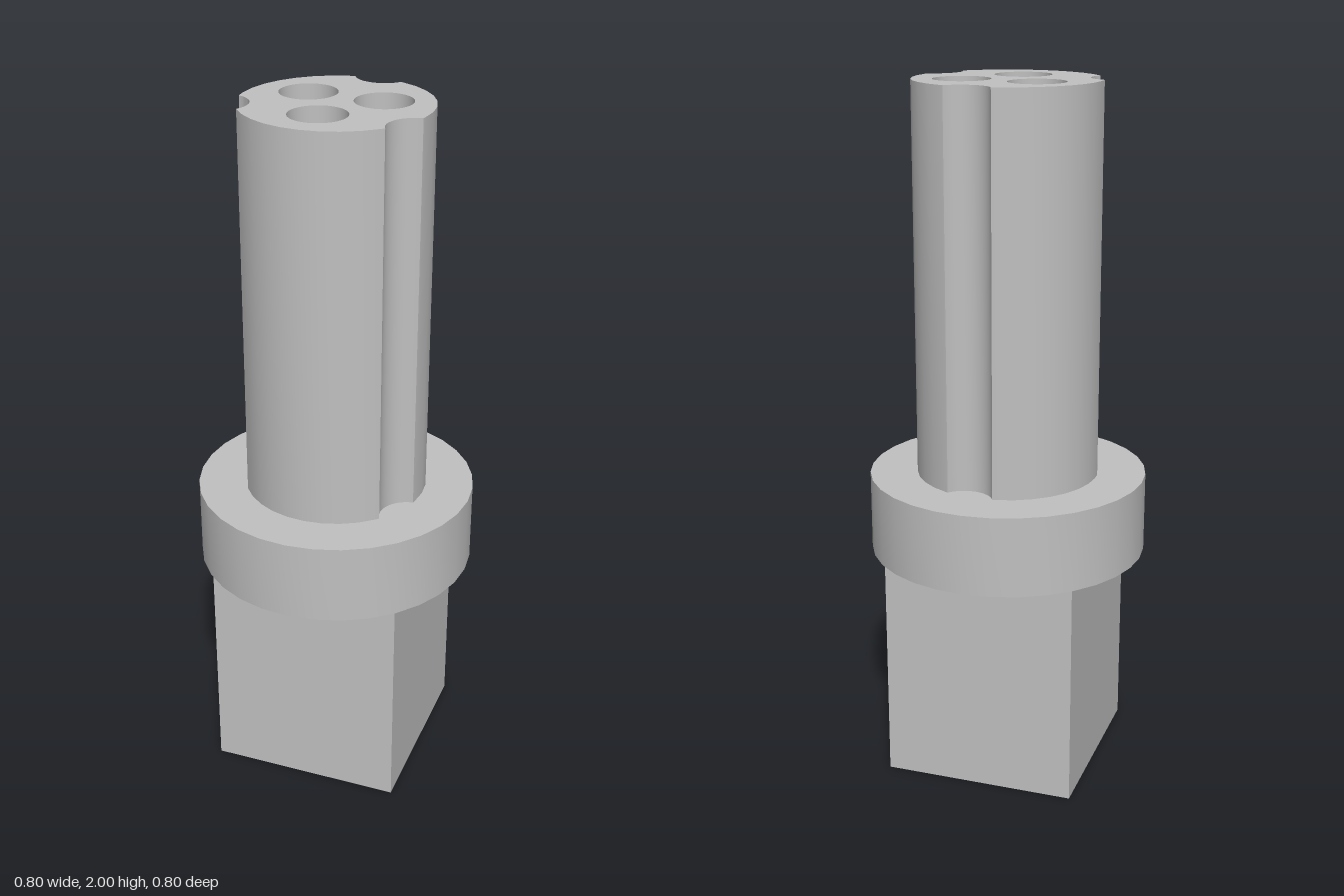
import * as THREE from 'three';
import { toCreasedNormals } from 'three/addons/utils/BufferGeometryUtils.js';

const TAU = Math.PI * 2;
// Plan positions [x, z]
const HOLES = [[-0.104, -0.07], [0.113, -0.055], [-0.005, 0.12]];
const GROOVES = [[0.265, 0.14], [0.032, -0.293], [-0.285, 0.106]];
const BORE = 0.08;

// Points on a circle in the shape plane (shape y becomes -z)
function circlePoints(cx, cy, r, n = 32) {
  return Array.from({ length: n }, (_, i) => {
    const a = (i / n) * TAU;
    return new THREE.Vector2(cx + r * Math.cos(a), cy + r * Math.sin(a));
  });
}

// Circle outline with round lengthwise grooves cut into it
function groovedOutline(R) {
  const cuts = GROOVES.map(([x, z]) => {
    const d = Math.hypot(x, z);
    return {
      x, y: -z,
      a: (Math.atan2(-z, x) + TAU) % TAU,
      h: Math.acos((R * R + d * d - BORE * BORE) / (2 * R * d)),
      b: Math.acos((d * d + BORE * BORE - R * R) / (2 * d * BORE)),
    };
  });
  const entries = [];
  circlePoints(0, 0, R).forEach((p, i) => {
    const a = (i / 32) * TAU;
    const inCut = cuts.some(c => Math.abs(Math.atan2(Math.sin(a - c.a), Math.cos(a - c.a))) < c.h + 0.01);
    if (!inCut) entries.push({ a, pts: [p] });
  });
  for (const c of cuts) {
    const pts = [];
    for (let i = 0; i <= 12; i++) {
      const t = c.a + Math.PI + c.b * (1 - i / 6);
      pts.push(new THREE.Vector2(c.x + BORE * Math.cos(t), c.y + BORE * Math.sin(t)));
    }
    entries.push({ a: c.a, pts });
  }
  return entries.sort((p, q) => p.a - q.a).flatMap(e => e.pts);
}

export function createModel() {
  const group = new THREE.Group();
  const grey = new THREE.MeshStandardMaterial({ color: 0xc0c0c0 });
  grey.name = 'grey';

  // Upright section from y0 to y1, pierced by the three bores
  function section(name, outline, y0, y1) {
    const shape = new THREE.Shape(outline);
    for (const [x, z] of HOLES) shape.holes.push(new THREE.Path(circlePoints(x, -z, BORE)));
    const geo = new THREE.ExtrudeGeometry(shape, { depth: y1 - y0, bevelEnabled: false });
    geo.rotateX(-Math.PI / 2);
    geo.translate(0, y0, 0);
    const mesh = new THREE.Mesh(toCreasedNormals(geo, 0.6), grey);
    mesh.name = name;
    group.add(mesh);
  }

  const s = 0.278;
  const square = [[-s, -s], [s, -s], [s, s], [-s, s]].map(p => new THREE.Vector2(...p));
  section('squareBase', square, 0, 0.655);
  section('collar', circlePoints(0, 0, 0.4), 0.655, 0.885);
  section('groovedShaft', groovedOutline(0.263), 0.885, 2);

  return group;
}
